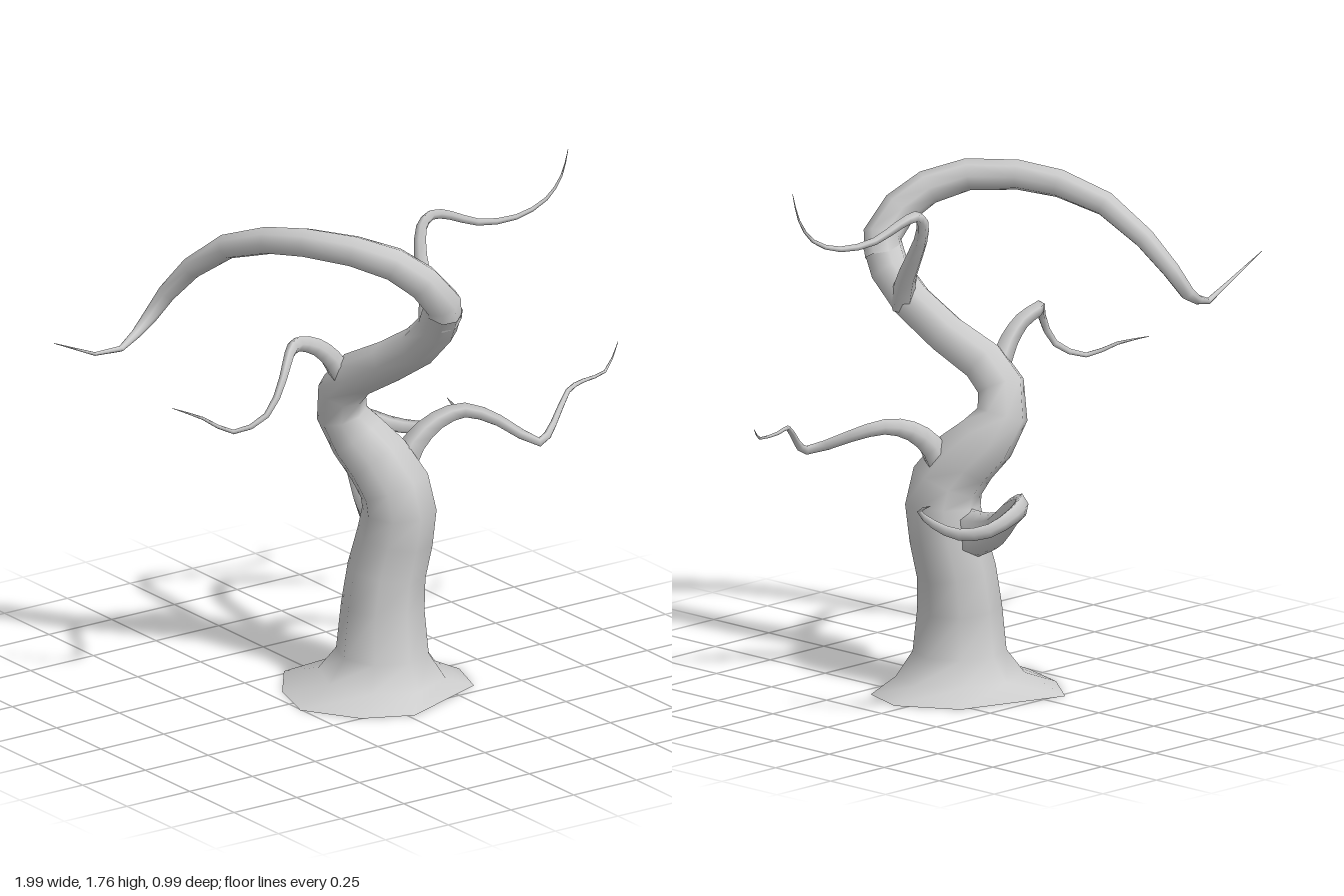
import * as THREE from 'three';

const material = new THREE.MeshStandardMaterial({ color: 0xcccccc, side: THREE.DoubleSide });

// Sweeps a tapering ring along stations [x, y, z, radius]; squash narrows the ring sideways.
function limb(name, stations, { sides = 6, steps = 1, squash = 1, firstNormal, footRing } = {}) {
  const pts = stations.map(([x, y, z]) => new THREE.Vector3(x, y, z));
  const curve = new THREE.CatmullRomCurve3(pts, false, 'centripetal');
  const spans = pts.length - 1;
  const count = spans * steps;
  const pos = [], index = [];
  const normal = new THREE.Vector3(), side = new THREE.Vector3(), p = new THREE.Vector3();
  for (let k = 0; k <= count; k++) {
    const t = k / count;
    const c = curve.getPoint(t);
    const dir = curve.getTangent(t);
    if (k === 0) {
      if (firstNormal) normal.copy(firstNormal);
      else normal.set(dir.z, 0, -dir.x);
    }
    // carry the ring's frame along without twist
    normal.addScaledVector(dir, -normal.dot(dir)).normalize();
    side.crossVectors(normal, dir);
    const s = Math.min(Math.floor(k / steps), spans - 1);
    const r = THREE.MathUtils.lerp(stations[s][3], stations[s + 1][3], k / steps - s);
    for (let i = 0; i < sides; i++) {
      const a = (i / sides) * Math.PI * 2;
      p.copy(c).addScaledVector(normal, Math.cos(a) * r * squash).addScaledVector(side, Math.sin(a) * r);
      if (k === 0 && footRing) p.set(footRing[i][0], 0, footRing[i][1]);
      pos.push(p.x, p.y, p.z);
      if (k < count) {
        const j = (i + 1) % sides, A = k * sides, B = A + sides;
        index.push(A + i, B + i, A + j, A + j, B + i, B + j);
      }
    }
  }
  const geo = new THREE.BufferGeometry();
  geo.setAttribute('position', new THREE.Float32BufferAttribute(pos, 3));
  geo.setIndex(index);
  geo.computeVertexNormals();
  const mesh = new THREE.Mesh(geo, material);
  mesh.name = name;
  return mesh;
}

export function createModel() {
  const tree = new THREE.Group();
  tree.name = 'twistedTree';

  // Trunk with irregular flared foot, bending back and then forward
  const foot = [[0.4, 0.04], [0.345, 0.2], [0.02, 0.325], [-0.14, 0.25],
    [-0.255, 0.07], [-0.2, -0.11], [-0.08, -0.27], [0.285, -0.15]];
  tree.add(limb('trunk', [
    [0.09, 0, 0.04, 0.3], [0.092, 0.05, 0.04, 0.21], [0.09, 0.13, 0.045, 0.153],
    [0.095, 0.28, 0.04, 0.138], [0.11, 0.4, 0.04, 0.13], [0.13, 0.52, 0.06, 0.126],
    [0.135, 0.62, 0.077, 0.123], [0.12, 0.7, 0.07, 0.12], [0.09, 0.78, 0.02, 0.112],
    [0.055, 0.85, -0.045, 0.1], [0.015, 0.93, -0.077, 0.085], [0, 1.02, -0.055, 0.08],
    [0.012, 1.09, 0.01, 0.076], [0.05, 1.165, 0.14, 0.07], [0.07, 1.255, 0.28, 0.068],
    [0.08, 1.345, 0.37, 0.066], [0.06, 1.43, 0.43, 0.065],
  ], { sides: 8, firstNormal: new THREE.Vector3(1, 0, 0), footRing: foot }));

  // Crown limb, curling over and back to a long thin tip
  tree.add(limb('crownLimb', [
    [0.075, 1.385, 0.4, 0.066], [0.055, 1.45, 0.43, 0.064], [-0.01, 1.53, 0.415, 0.06],
    [-0.09, 1.595, 0.365, 0.057], [-0.19, 1.635, 0.28, 0.053], [-0.28, 1.642, 0.14, 0.05],
    [-0.34, 1.625, 0.01, 0.047], [-0.4, 1.572, -0.14, 0.042], [-0.45, 1.47, -0.27, 0.036],
    [-0.495, 1.37, -0.345, 0.03], [-0.54, 1.29, -0.375, 0.024], [-0.61, 1.25, -0.355, 0.016],
    [-0.69, 1.225, -0.325, 0.01], [-0.83, 1.25, -0.275, 0.006], [-1, 1.325, -0.265, 0.001],
  ], { sides: 8 }));

  // Side branches
  const branch = { sides: 5, steps: 2, squash: 0.85 };
  tree.add(limb('upperLeftBranch', [
    [0.1, 1.25, 0.3, 0.05], [0.145, 1.37, 0.225, 0.036], [0.18, 1.5, 0.135, 0.027],
    [0.212, 1.58, 0.095, 0.023], [0.26, 1.61, 0.08, 0.019], [0.33, 1.595, 0.085, 0.016],
    [0.43, 1.555, 0.1, 0.013], [0.57, 1.55, 0.12, 0.01], [0.68, 1.595, 0.135, 0.007],
    [0.73, 1.67, 0.15, 0.004], [0.745, 1.76, 0.165, 0.001],
  ], branch));
  tree.add(limb('rightBranch', [
    [0, 1.05, -0.03, 0.045], [-0.07, 1.15, -0.02, 0.036], [-0.13, 1.205, -0.02, 0.03],
    [-0.2, 1.23, -0.02, 0.026], [-0.27, 1.22, 0.03, 0.02], [-0.33, 1.165, 0.08, 0.016],
    [-0.41, 1.06, 0.1, 0.012], [-0.51, 1.01, 0.055, 0.009], [-0.58, 1.05, -0.02, 0.006],
    [-0.645, 1.075, -0.1, 0.001],
  ], branch));
  tree.add(limb('middleLeftBranch', [
    [0.14, 0.72, 0.06, 0.055], [0.2, 0.83, 0.07, 0.043], [0.28, 0.895, 0.085, 0.034],
    [0.37, 0.92, 0.115, 0.027], [0.45, 0.89, 0.19, 0.021], [0.53, 0.835, 0.31, 0.016],
    [0.6, 0.88, 0.29, 0.012], [0.7, 0.955, 0.23, 0.009], [0.79, 0.96, 0.19, 0.007],
    [0.89, 0.965, 0.17, 0.005], [0.99, 1.025, 0.1, 0.001],
  ], branch));
  tree.add(limb('rearLeftBranch', [
    [0.13, 0.54, -0.02, 0.09], [0.15, 0.565, -0.12, 0.07], [0.18, 0.6, -0.21, 0.056],
    [0.215, 0.68, -0.31, 0.047], [0.275, 0.735, -0.42, 0.038], [0.37, 0.73, -0.475, 0.032],
    [0.465, 0.69, -0.455, 0.027], [0.54, 0.68, -0.39, 0.022], [0.59, 0.71, -0.33, 0.016],
    [0.615, 0.75, -0.285, 0.009], [0.62, 0.78, -0.34, 0.001],
  ], { ...branch, squash: 0.55 }));

  return tree;
}
